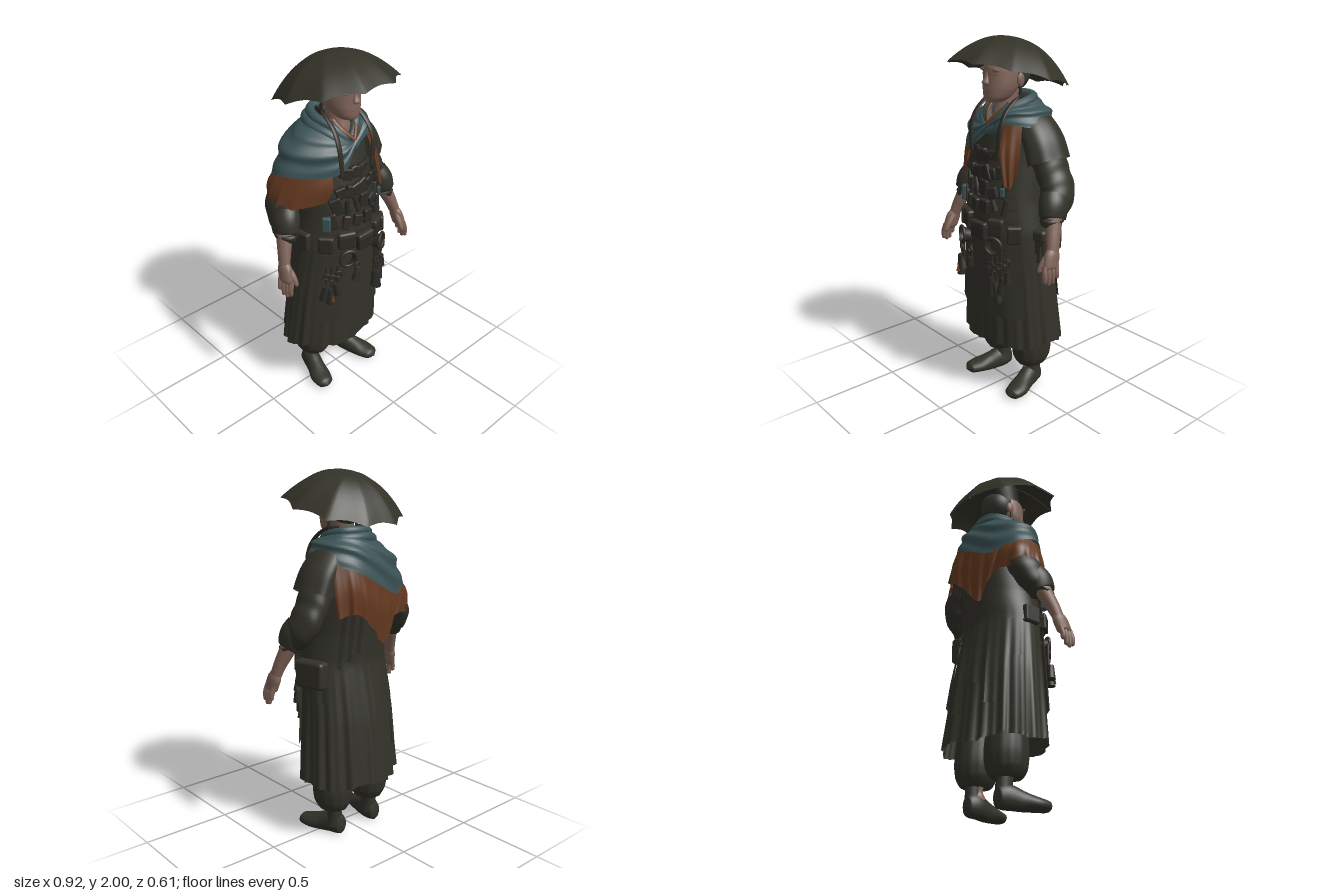
import * as THREE from 'three';
import { mergeVertices } from 'three/addons/utils/BufferGeometryUtils.js';
import { RoundedBoxGeometry } from 'three/addons/geometries/RoundedBoxGeometry.js';

const V = (x, y, z) => new THREE.Vector3(x, y, z);
const { lerp, clamp } = THREE.MathUtils;
const TAU = Math.PI * 2;

export function createModel() {
  const root = new THREE.Group();
  root.name = 'wanderer';
  const paint = (name, color) => new THREE.MeshStandardMaterial({ name, color, side: THREE.DoubleSide });
  const cloth = paint('dark olive cloth', 0x323129), hatCloth = paint('hat cloth', 0x333228);
  const gear = paint('dark gear', 0x2b2a25), leather = paint('brown leather', 0x332c25);
  const teal = paint('teal scarf', 0x3b5255), rust = paint('rust cloth', 0x653920);
  const skin = paint('skin', 0x7f6358), crease = paint('skin crease', 0x664e45), hair = paint('grey hair', 0x37382f);

  const add = (name, geo, mat, pos = [0, 0, 0], parent = root) => {
    const m = new THREE.Mesh(geo, mat);
    m.name = name;
    m.position.set(...pos);
    parent.add(m);
    return m;
  };
  // smooth sheet from a rule fn(u, v): u runs to the right, v runs down
  const grid = (fn, nu, nv) => {
    const pos = [], idx = [];
    for (let j = 0; j <= nv; j++) for (let i = 0; i <= nu; i++) pos.push(...fn(i / nu, j / nv).toArray());
    for (let j = 0; j < nv; j++) for (let i = 0; i < nu; i++) {
      const a = j * (nu + 1) + i, c = a + nu + 1;
      idx.push(a, c, a + 1, a + 1, c, c + 1);
    }
    let g = new THREE.BufferGeometry();
    g.setAttribute('position', new THREE.Float32BufferAttribute(pos, 3));
    g.setIndex(idx);
    g = mergeVertices(g, 1e-5);
    g.computeVertexNormals();
    return g;
  };
  // elliptical sections along a path; flat keeps every section horizontal
  const sweep = (pts, radii, { flat = false, ref = V(0, 0, 1), fold = () => 1, nu = 20, nv = pts.length * 5, floor = -1 } = {}) => {
    const path = new THREE.CatmullRomCurve3(pts.map(p => V(...p)));
    const size = new THREE.CatmullRomCurve3(radii.map(r => V(r[0], r[1], 0)));
    return grid((u, v) => {
      const t = flat ? V(0, -1, 0) : path.getTangent(v);
      const right = ref.clone().cross(t).normalize(), fwd = t.clone().cross(right);
      const a = u * TAU, r = size.getPoint(v), k = fold(a, v);
      const p = path.getPoint(v).addScaledVector(right, r.x * k * Math.sin(a)).addScaledVector(fwd, r.y * k * Math.cos(a));
      p.y = Math.max(p.y, floor);
      return p;
    }, nu, nv);
  };
  // cloth stretched across guide curves, top row first
  const drape = (rows, closed, wave, nu = 72, nv = 14) => {
    const curves = rows.map(r => new THREE.CatmullRomCurve3(r.map(p => V(...p)), closed));
    return grid((u, v) => {
      const p = new THREE.CatmullRomCurve3(curves.map(c => c.getPoint(u))).getPoint(v);
      const k = 1 + wave(u, v);
      return V(p.x * k, p.y, p.z * k);
    }, nu, nv);
  };

  // robe: height, centre x, centre z, half width, half depth
  const rings = [[1.66, 0, -.04, .09, .08], [1.6, 0, -.055, .17, .12], [1.5, 0, -.055, .21, .16], [1.35, 0, -.04, .21, .185],
    [1.15, 0, -.01, .22, .19], [1, 0, 0, .245, .19], [.7, -.012, -.03, .28, .215], [.32, -.02, -.055, .318, .238]];
  const wrap = (a, y, off = 0) => {
    let i = 0;
    while (i < rings.length - 2 && y < rings[i + 1][0]) i++;
    const p = rings[i], q = rings[i + 1], t = clamp((y - p[0]) / (q[0] - p[0]), 0, 1);
    const [, cx, cz, rx, rz] = p.map((n, k) => lerp(n, q[k], t));
    return V(cx + (rx + off) * Math.sin(a), y, cz + (rz + off) * Math.cos(a));
  };
  // pleats deepen toward the hem and the back; the back right quarter hangs flatter
  const pleat = (a, y) => clamp((1.05 - y) / .7, 0, 1) * ((1 - .4 * Math.cos(a)) * (.006 * Math.cos(17 * a) + .005 * Math.cos(29 * a + 1))
    - .035 * Math.pow(Math.max(0, Math.cos(a - 3.9)), 4));
  const patch = (a0, a1, y0, y1, off, nu = 24, nv = 20) =>
    grid((u, v) => { const y = lerp(y0, y1, v), a = lerp(a0, a1, u); return wrap(a, y, off + pleat(a, y)); }, nu, nv);
  add('robe', grid((u, v) => {
    const a = u * TAU, y = lerp(1.66, .325 + .012 * Math.sin(a * 5), v);
    return wrap(a, y, pleat(a, y));
  }, 150, 44), cloth);
  add('jacketSkirt', patch(.9, TAU - .9, 1.16, .98, .012, 60, 8), cloth);
  add('apron', grid((u, v) => {
    const y = lerp(1.46, .51, v), half = lerp(.5, 1, clamp((1.46 - y) / .3, 0, 1));
    return wrap((u * 2 - 1) * half, y, .016 + .003 * Math.sin(u * 25) * v);
  }, 40, 30), cloth);
  [[2.0, .8], [2.5, .55], [2.95, .48], [3.4, .62], [3.85, .5], [4.3, .75]].forEach(([a, y]) =>
    add('backPanel', patch(a - .16, a + .16, 1.06, y, .012, 10, 14), cloth));
  add('belt', patch(-1, 1, 1.075, 1.045, .024, 40, 2), leather);

  // trousers, ankles and shoes
  for (const s of [-1, 1]) {
    const side = s > 0 ? 'left' : 'right', x = s * .132, toe = s > 0 ? 0 : -.018;
    add(side + 'Trouser', sweep([[x, .6, -.06], [x, .42, -.06], [x, .28, -.065], [x, .2, -.065], [x, .15, -.065], [x, .155, -.065]],
      [[.09, .1], [.1, .108], [.108, .117], [.1, .108], [.065, .075], [.035, .035]],
      { flat: true, nu: 84, nv: 30, fold: (a, v) => 1 + .025 * v * Math.cos(13 * a) }), cloth);
    add(side + 'Ankle', sweep([[x, .18, -.078], [x, .11, -.08], [x, .05, -.075]], [[.038, .042], [.038, .046], [.047, .058]], { flat: true }), cloth);
    add(side + 'Shoe', sweep([[s * .12 + toe, .05, -.135], [s * .12 + toe, .05, -.125], [s * .125 + toe, .055, -.07], [s * .145 + toe, .04, 0],
      [s * .17 + toe, .03, .07], [s * .183 + toe, .025, .13], [s * .187 + toe, .022, .155]],
    [[.001, .001], [.036, .05], [.05, .068], [.052, .056], [.06, .04], [.046, .03], [.002, .002]], { ref: V(0, 1, 0), nu: 24, nv: 36, floor: 0 }), cloth);

    // sleeves and arms
    add(side + 'Sleeve', sweep([[s * .13, 1.54, -.06], [s * .2, 1.48, -.06], [s * .262, 1.34, -.072], [s * .322, 1.225, -.065], [s * .352, 1.12, -.003]],
      [[.07, .09], [.08, .105], [.078, .1], [.074, .098], [.058, .07]], { nu: 40, nv: 40, fold: (a, v) => 1 + .025 * Math.sin(38 * v + 2 * Math.sin(a)) }), cloth);
    add(side + 'Cuff', sweep([[s * .328, 1.215, -.035], [s * .345, 1.17, -.012], [s * .357, 1.105, .005], [s * .357, 1.112, .005], [s * .352, 1.14, .005]],
      [[.066, .08], [.071, .083], [.06, .074], [.045, .05], [.03, .03]], { nu: 28 }), cloth);
    add(side + 'Forearm', sweep([[s * .35, 1.2, -.02], [s * .37, 1.1, .008], [s * .4, 1.01, .04], [s * .42, .94, .06]],
      [[.044, .05], [.042, .046], [.033, .038], [.026, .034]]), skin);
    const hand = new THREE.Group();
    hand.name = side + 'Hand';
    root.add(hand);
    add('palm', sweep([[s * .412, .97, .05], [s * .422, .93, .066], [s * .43, .88, .082], [s * .436, .86, .085]],
      [[.024, .03], [.028, .047], [.026, .047], [.01, .036]]), skin, undefined, hand);
    for (let f = 0; f < 4; f++) {
      const z = .05 + f * .024, drop = [.815, .79, .785, .8][f], x = s * (.436 - f * .004);
      add('finger', sweep([[x, .89, z], [x + s * .012, .845, z + .007], [x + s * .012, drop + .006, z + .006], [x + s * .01, drop, z + .005]],
        [[.016, .014], [.015, .0135], [.012, .011], [.001, .001]], { nu: 10, nv: 10 }), skin, undefined, hand);
    }
    add('thumb', sweep([[s * .412, .945, .075], [s * .405, .9, .112], [s * .402, .86, .136], [s * .402, .85, .139]],
      [[.02, .02], [.018, .018], [.012, .012], [.001, .001]], { nu: 10, nv: 10 }), skin, undefined, hand);
  }
  add('bareAnkle', sweep([[.116, .18, -.06], [.114, .11, -.06], [.114, .07, -.055]], [[.028, .034], [.028, .034], [.032, .042]], { flat: true }), skin);
  add('leftShortSleeve', sweep([[.08, 1.59, -.06], [.155, 1.545, -.06], [.215, 1.47, -.06], [.255, 1.375, -.06]],
    [[.055, .085], [.078, .115], [.086, .125], [.09, .128]], { nu: 48, nv: 24, fold: (a, v) => 1 + .025 * v * Math.cos(7 * a) }), cloth);

  // rust shawl beneath, teal scarf above
  const ragged = (u, v) => (u < .55 ? .03 : .012) * v * (Math.sin(u * 75) + .4 * Math.sin(u * 140));
  add('shawlBack', drape([
    [[.21, 1.55, -.16], [.12, 1.52, -.22], [0, 1.45, -.235], [-.14, 1.42, -.22], [-.25, 1.43, -.17], [-.31, 1.43, -.1], [-.315, 1.43, .0], [-.26, 1.43, .08], [-.15, 1.44, .13]],
    [[.22, 1.4, -.19], [.12, 1.4, -.25], [0, 1.33, -.25], [-.13, 1.28, -.235], [-.25, 1.34, -.19], [-.35, 1.34, -.14], [-.365, 1.33, -.04], [-.3, 1.34, .065], [-.16, 1.35, .155]],
    [[.21, 1.26, -.205], [.12, 1.28, -.25], [0, 1.19, -.24], [-.1, 1.09, -.225], [-.2, 1.23, -.2], [-.345, 1.23, -.15], [-.385, 1.25, -.05], [-.33, 1.25, .05], [-.19, 1.27, .135]]], false, ragged, 110), rust);
  add('shawlFront', drape([[[.1, 1.59, .11], [.14, 1.58, .1], [.18, 1.57, .06]], [[.125, 1.43, .165], [.165, 1.42, .14], [.205, 1.42, .1]],
    [[.16, 1.27, .17], [.185, 1.25, .155], [.205, 1.3, .125]]], false, (u, v) => .03 * v * Math.sin(u * 14), 20), rust);
  const collar = [[0, 1.565, .115], [.075, 1.64, .07], [.105, 1.67, -.02], [.09, 1.685, -.09], [.04, 1.69, -.12], [-.03, 1.69, -.12],
    [-.08, 1.68, -.1], [-.11, 1.67, -.04], [-.11, 1.66, 0], [-.085, 1.635, .065], [-.045, 1.59, .105]];
  const hem = [[0, 1.515, .145], [.11, 1.57, .125], [.22, 1.555, .02], [.225, 1.53, -.13], [.12, 1.5, -.23], [-.05, 1.41, -.25],
    [-.2, 1.35, -.212], [-.325, 1.39, -.135], [-.345, 1.42, -.02], [-.24, 1.41, .1], [-.1, 1.43, .17]];
  const bulge = [.56, .56, .56, .56, .56, .58, .62, .6, .6, .6, .57];
  const middle = collar.map((p, i) => [(p[0] + hem[i][0]) * bulge[i], (p[1] + hem[i][1]) / 2 + .025, (p[2] + hem[i][2]) * bulge[i]]);
  add('scarf', drape([collar, middle, hem], true, (u, v) => .04 * Math.sin(v * Math.PI) * Math.sin(v * 19 + Math.sin(u * TAU) * 4), 90, 26), teal);
  [[0, .026, 1], [-.035, .03, 1.22]].forEach(([dy, r, k]) => add('scarfRoll', new THREE.TubeGeometry(
    new THREE.CatmullRomCurve3(collar.map(p => V(p[0] * k, p[1] + dy, p[2] * (k * .5 + .5) - .005)), true), 60, r, 10, true), teal));

  // head
  add('neck', sweep([[0, 1.78, 0], [0, 1.68, .005], [0, 1.6, .02], [0, 1.54, .03]], [[.062, .068], [.058, .062], [.062, .07], [.05, .06]], { flat: true }), skin);
  add('face', sweep([[0, 1.93, .02], [0, 1.9, .02], [0, 1.85, .03], [0, 1.79, .036], [0, 1.745, .05], [0, 1.7, .07], [0, 1.675, .085], [0, 1.667, .085]],
    [[.002, .002], [.068, .09], [.088, .112], [.092, .108], [.088, .097], [.07, .077], [.042, .052], [.001, .001]], { flat: true, nu: 32, nv: 40 }), skin);
  add('nose', sweep([[0, 1.84, .136], [0, 1.8, .143], [0, 1.772, .152], [0, 1.758, .143]], [[.008, .006], [.013, .012], [.022, .016], [.006, .004]], { flat: true, nu: 14 }), skin);
  add('mouth', new THREE.SphereGeometry(1, 16, 8).scale(.03, .003, .01), crease, [0, 1.725, .138]);
  for (const s of [-1, 1]) {
    add('browRidge', new THREE.SphereGeometry(1, 14, 8).scale(.036, .012, .012), skin, [s * .037, 1.838, .124]);
    add('eye', new THREE.SphereGeometry(1, 14, 8).scale(.02, .004, .007), crease, [s * .038, 1.815, .125]);
    add('cheekFold', sweep([[s * .025, 1.765, .138], [s * .042, 1.74, .13], [s * .045, 1.715, .122]], Array(3).fill([.003, .004]), { nu: 8 }), crease);
    add('ear', new THREE.SphereGeometry(1, 14, 10).scale(.013, .036, .024), skin, [s * .094, 1.785, -.005]);
    add('earring', new THREE.CylinderGeometry(.007, .01, .06, 8), gear, [s * .097, 1.72, 0]);
    add('collarTrim', sweep([[s * .066, 1.665, .05], [s * .05, 1.62, .1], [0, 1.565, .14]], [[.014, .01], [.016, .01], [.012, .01]]), rust);
    add('apronStrap', sweep([[s * .08, 1.7, -.06], [s * .1, 1.695, .02], [s * .11, 1.635, .11], [s * .116, 1.55, .155], [s * .105, 1.41, .165]],
      Array(5).fill([.015, .007]), { nu: 10, nv: 30 }), leather);
  }
  add('hair', new THREE.SphereGeometry(1, 28, 18).scale(.097, .105, .095), hair, [0, 1.82, -.03]);
  add('hatLining', new THREE.CylinderGeometry(.112, .104, .1, 28, 1, true), gear, [0, 1.89, -.005]).rotation.x = -.26;

  // scalloped ten rib hat, tipped back
  const hat = new THREE.Group();
  hat.name = 'umbrellaHat';
  hat.position.set(0, 1.805, .005);
  hat.rotation.x = -.26;
  root.add(hat);
  const dome = (a, r) => {
    const sag = Math.abs(Math.sin(5 * a)), k = r * (1 - .08 * sag * r * r);
    return V(.328 * k * Math.cos(a), .19 * (1 - Math.pow(k, 2.2)) - .018 * sag * r * r, .333 * k * Math.sin(a));
  };
  add('canopy', grid((u, v) => dome(-u * TAU, v), 120, 16), hatCloth, undefined, hat);
  for (let i = 0; i < 10; i++) {
    const line = [.05, .3, .5, .7, .85, .97].map(r => dome(i * TAU / 10, r).add(V(0, -.01, 0)));
    add('rib', new THREE.TubeGeometry(new THREE.CatmullRomCurve3(line), 16, .004, 6), gear, undefined, hat);
  }

  // gear fixed to the apron; a is the angle round the body from the front
  const fix = (name, geo, mat, a, y, off) => {
    const m = add(name, geo, mat, wrap(a, y, off).toArray());
    m.rotation.y = a;
    return m;
  };
  const box = (w, h, d) => new RoundedBoxGeometry(w, h, d, 2, Math.min(w, h, d) * .3);
  let seed = 11;
  const rnd = () => (seed = (seed * 16807) % 2147483647) / 2147483647;
  for (let row = 0; row < 4; row++) for (let col = 0; col < 6; col++) {
    const y = 1.41 - row * .085 - rnd() * .03, a = (col - 2.5) * (.15 + row * .045) + (rnd() - .5) * .08;
    const mat = rnd() < .3 ? leather : gear, h = .05 + rnd() * .05;
    const item = rnd() < .5 ? fix('smallPouch', box(.035 + rnd() * .03, h, .03), mat, a, y, .022)
      : fix('vial', new THREE.CylinderGeometry(.013, .017, h, 10), mat, a, y, .024);
    item.rotation.z = (rnd() - .5) * .7;
  }
  [[1.36, .55], [1.2, .85], [1.13, .95]].forEach(([y, h]) => add('gearStrap', patch(-h, h, y + .01, y - .01, .024, 24, 2), leather));
  fix('tealFlask', box(.045, .085, .03), teal, -.85, 1.15, .045);
  fix('tealCharm', box(.025, .05, .02), teal, .62, 1.23, .05);
  [[-.85, .08, 1.02], [-.4, .095, 1.035], [.05, .11, 1.0], [.48, .085, 1.03], [.88, .075, 1.0]].forEach(([a, w, y]) => {
    fix('beltPouch', box(w, .095, .036), gear, a, y, .026);
    fix('pouchFlap', box(w + .006, .04, .042), cloth, a, y + .03, .026);
  });
  for (const a of [-.38, .46]) {
    fix('cup', new THREE.CylinderGeometry(.042, .036, .05, 20, 1, true).rotateX(1.3), gear, a, .935, .04);
    fix('cupRing', new THREE.TorusGeometry(.046, .009, 8, 24), leather, a, .94, .058);
  }
  // hanging tools
  [-.75, -.64, -.53, -.15, .38, .48, .58, .7].forEach((a, i) => {
    const len = [.17, .19, .15, .1, .2, .23, .19, .14][i], mid = .9 - len / 2;
    fix('cord', new THREE.CylinderGeometry(.008, .008, len, 6), leather, a, mid, .034);
    fix('tool', new THREE.CylinderGeometry(.016, .024, len * .5, 10), gear, a, .9 - len, .042).rotation.z = (i % 3 - 1) * .2;
    fix('toolRing', new THREE.TorusGeometry(.018, .006, 6, 14), gear, a, mid + .02, .044);
  });
  fix('rustTassel', new THREE.ConeGeometry(.012, .05, 8), rust, -.6, .71, .062);
  // side bags and rear ties
  fix('sideBag', box(.18, .14, .07), cloth, 1.8, .945, .026);
  fix('sideBagFlap', box(.188, .07, .078), cloth, 1.8, .99, .026);
  fix('sideBagTassel', new THREE.ConeGeometry(.02, .1, 8), gear, 1.4, .9, .05);
  fix('hipPouch', box(.1, .1, .04), cloth, -1.5, 1.02, .01);
  for (const a of [2.45, 2.65, 2.85])
    add('rearTie', patch(a - .05, a + .05, 1.32, .98 + (a - 2.45) * .2, .024, 4, 10), gear);
  return root;
}
